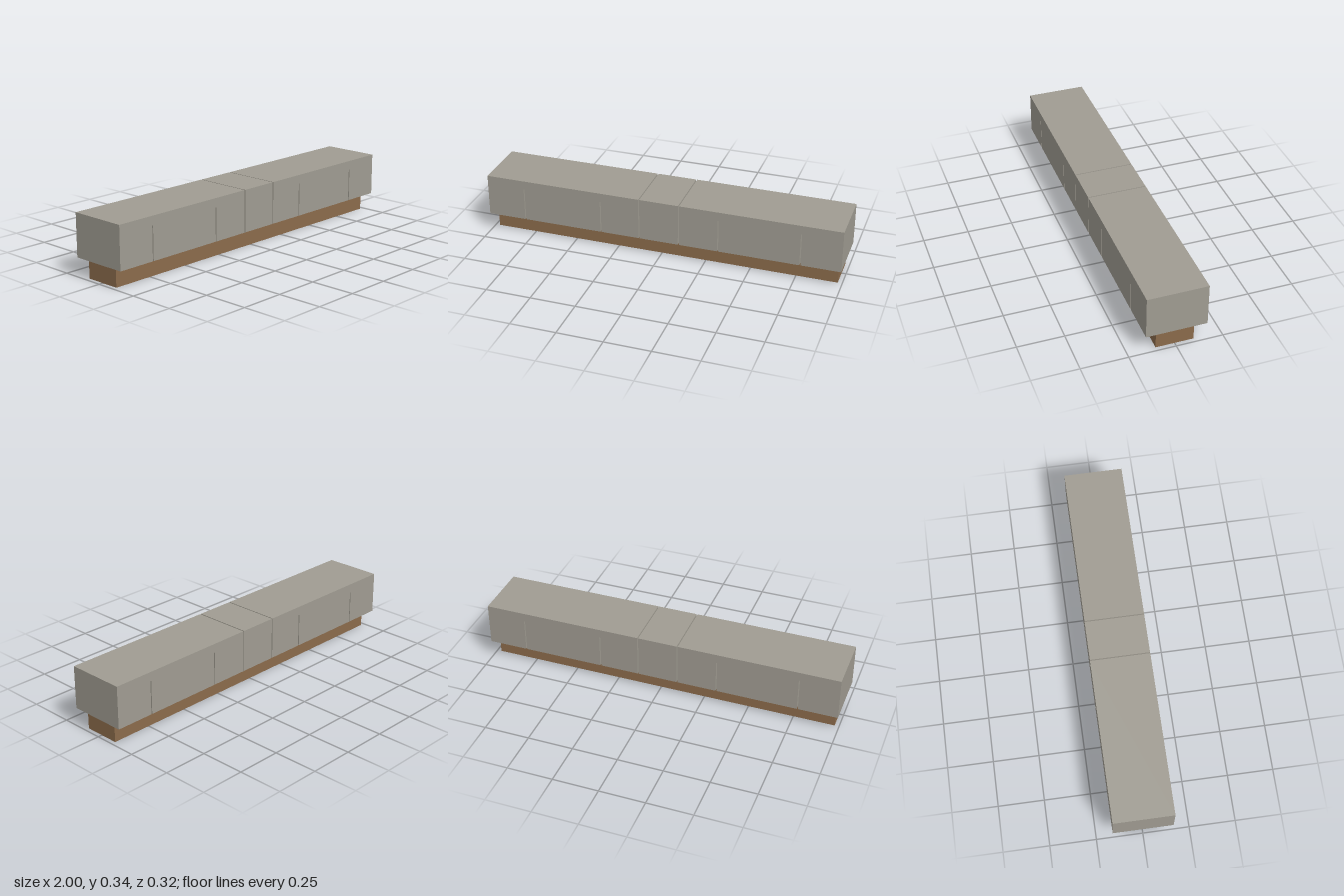
import * as THREE from 'three';

export function createModel() {
  const model = new THREE.Group();
  const stone = new THREE.MeshStandardMaterial({ color: 0xa09c92, flatShading: true });
  const wood = new THREE.MeshStandardMaterial({ color: 0x8b6b4b, flatShading: true });

  // Box given by its lower and upper limits in x and y, and its depth
  function block(name, material, x0, x1, y0, y1, depth) {
    const mesh = new THREE.Mesh(new THREE.BoxGeometry(x1 - x0, y1 - y0, depth), material);
    mesh.position.set((x0 + x1) / 2, (y0 + y1) / 2, 0);
    mesh.name = name;
    model.add(mesh);
  }

  // Row of stones between the given joints, with a thin gap at each joint
  function course(name, joints, y0, y1) {
    const gap = 0.003;
    for (let i = 0; i < joints.length - 1; i++) {
      const x0 = joints[i] + (i > 0 ? gap : 0);
      const x1 = joints[i + 1] - (i < joints.length - 2 ? gap : 0);
      block(name + (i + 1), stone, x0, x1, y0, y1, 0.324);
    }
  }

  // Narrow beam that carries the stones and reaches up inside them
  block('supportBeam', wood, -0.976, 0.976, 0, 0.104, 0.202);
  block('beamCore', wood, -0.95, 0.95, 0.104, 0.18, 0.2);

  // Wall stones, closed above by three longer cap stones
  course('wallStone', [-1, -0.782, -0.333, -0.112, 0.112, 0.332, 0.78, 1], 0.104, 0.29);
  course('capStone', [-1, -0.112, 0.112, 1], 0.29, 0.34);

  return model;
}
